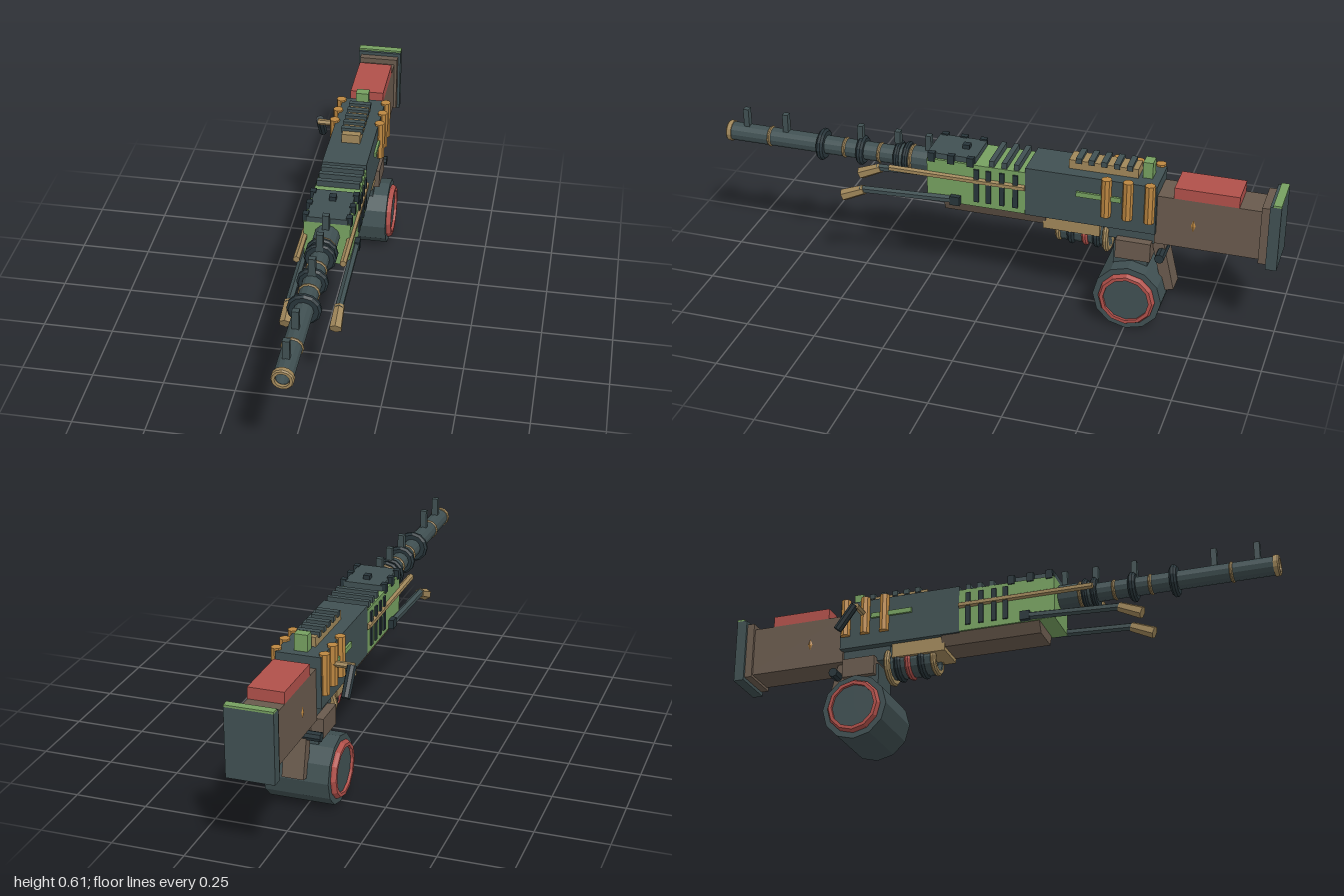
import * as THREE from 'three';

const mat = (name, color, side = THREE.FrontSide) => {
  const m = new THREE.MeshStandardMaterial({ color, flatShading: true, side });
  m.name = name;
  return m;
};

export function createModel() {
  const model = new THREE.Group();
  model.name = 'model';
  const steel = mat('steel', 0x405052), black = mat('blackSteel', 0x28353a);
  const green = mat('green', 0x76a060), red = mat('red', 0xb0504a);
  const tan = mat('tan', 0xa0875a), brown = mat('brown', 0x695a4d), brass = mat('brass', 0xbb8640);
  const CX = 0.018, BY = 0.48; // middle plane and bore height

  const add = (name, geo, m, x = 0, y = 0, z = 0) => {
    const mesh = new THREE.Mesh(geo, m);
    mesh.name = name;
    mesh.position.set(x, y, z);
    model.add(mesh);
    return mesh;
  };
  // box from its limits
  const box = (name, m, x0, x1, y0, y1, z0, z1) =>
    add(name, new THREE.BoxGeometry(x1 - x0, y1 - y0, z1 - z0), m, (x0 + x1) / 2, (y0 + y1) / 2, (z0 + z1) / 2);
  // box centred on the middle plane
  const mid = (name, m, w, y0, y1, z0, z1) => box(name, m, CX - w / 2, CX + w / 2, y0, y1, z0, z1);
  // round bar between two points
  const bar = (name, m, a, b, r, sides = 8, r2 = r) => {
    const p = new THREE.Vector3(...a), q = new THREE.Vector3(...b), d = q.clone().sub(p);
    const mesh = add(name, new THREE.CylinderGeometry(r2, r, d.length(), sides), m);
    mesh.position.copy(p).add(q).multiplyScalar(0.5);
    mesh.quaternion.setFromUnitVectors(new THREE.Vector3(0, 1, 0), d.normalize());
    return mesh;
  };
  // turned part along z, profile of [radius, z]
  const turned = (name, m, pts, y = BY, sides = 12) => {
    const geo = new THREE.LatheGeometry(pts.map(p => new THREE.Vector2(...p)), sides).rotateX(Math.PI / 2);
    return add(name, geo, m, CX, y, 0);
  };
  const collar = (name, m, z, r, w, y = BY, inner = 0.02) => turned(name, m, [
    [inner, z - w / 2], [r - w * 0.3, z - w / 2], [r, z - w * 0.2], [r, z + w * 0.2],
    [r - w * 0.3, z + w / 2], [inner, z + w / 2]], y);

  // Barrel with hollow muzzle
  turned('barrel', steel, [[0.033, 0.2], [0.033, 0.99], [0.022, 0.99], [0.022, 0.9], [0, 0.9]]);
  turned('barrelSleeve', steel, [[0.044, 0.2], [0.044, 0.345], [0.03, 0.355]]);
  turned('muzzleRing', tan, [[0.022, 0.98], [0.037, 0.98], [0.037, 0.995], [0.033, 1], [0.024, 1], [0.022, 0.98]]);
  for (const z of [0.835, 0.55, 0.42]) collar('barrelBand', tan, z, 0.037, 0.012);
  collar('sleeveBand', tan, 0.3, 0.048, 0.012);
  collar('barrelCollar', black, 0.635, 0.057, 0.025);
  collar('barrelCollar', black, 0.487, 0.053, 0.025);
  collar('barrelCollar', black, 0.35, 0.055, 0.02);
  collar('barrelCollar', black, 0.318, 0.055, 0.02);
  for (const z of [0.925, 0.775, 0.492, 0.353, 0.24]) mid('barrelPost', steel, 0.023, 0.5, 0.577, z - 0.01, z + 0.01);

  // Green front housing
  mid('frontHousing', green, 0.158, 0.37, 0.53, -0.13, 0.222);
  mid('topCover', steel, 0.14, 0.53, 0.55, 0.05, 0.222);
  mid('coverKnob', black, 0.024, 0.55, 0.565, 0.09, 0.115);
  for (const z of [0.065, 0.135, 0.205])
    for (const s of [-1, 1]) {
      const x = CX + s * 0.074;
      box('coverClip', black, x - 0.01, x + 0.01, 0.522, 0.555, z - 0.012, z + 0.012);
    }
  for (const z of [-0.01, -0.055, -0.098]) mid('topRib', steel, 0.15, 0.525, 0.552, z - 0.009, z + 0.009);
  for (const z of [0.043, 0, -0.048, -0.096]) mid('sideRib', black, 0.17, 0.39, 0.515, z - 0.009, z + 0.009);

  // Side rods and front legs
  for (const s of [-1, 1]) {
    const x = CX + s * 0.083;
    bar('sideRod', tan, [CX + s * 0.078, 0.47, -0.13], [CX + s * 0.078, 0.47, 0.36], 0.012, 6);
    bar('leg', steel, [x, 0.387, 0.11], [x, 0.37, 0.47], 0.014, 6);
    bar('legFoot', tan, [x, 0.37, 0.455], [x, 0.335, 0.535], 0.018, 6, 0.022);
    box('legHinge', black, x - 0.014, x + 0.014, 0.37, 0.403, 0.1, 0.135);
  }

  // Lower handguard, narrower at the bottom
  const guard = new THREE.BoxGeometry(0.15, 0.047, 0.365);
  const gp = guard.attributes.position;
  for (let i = 0; i < gp.count; i++) if (gp.getY(i) < 0) gp.setX(i, gp.getX(i) * 0.72);
  add('handguard', guard, brown, CX, 0.353, -0.018);
  mid('guardPlate', tan, 0.12, 0.315, 0.368, -0.39, -0.19);

  // Main receiver
  mid('receiver', steel, 0.156, 0.367, 0.547, -0.585, -0.13);
  mid('receiverStripe', green, 0.172, 0.472, 0.49, -0.465, -0.31);
  mid('topRack', tan, 0.066, 0.547, 0.58, -0.51, -0.27);
  for (let i = 0; i < 5; i++) {
    const z = -0.305 - i * 0.044;
    mid('rackBar', steel, 0.078, 0.572, 0.591, z - 0.01, z + 0.01);
  }
  mid('rearSight', green, 0.046, 0.54, 0.605, -0.557, -0.523);
  for (const s of [-1, 1])
    for (const z of [-0.414, -0.488, -0.563]) {
      const x = CX + s * 0.082;
      bar('sideTube', brass, [x, 0.413, z], [x, 0.554, z], 0.018, 8);
    }

  // Crank handle on the right
  bar('crankArm', tan, [-0.06, 0.49, -0.492], [-0.14, 0.49, -0.492], 0.011, 6);
  bar('crankGrip', black, [-0.134, 0.495, -0.5], [-0.134, 0.408, -0.563], 0.016, 8);

  // Stock
  mid('stock', brown, 0.122, 0.325, 0.507, -0.965, -0.58);
  mid('stockPad', red, 0.122, 0.507, 0.547, -0.86, -0.64);
  mid('stockCollar', brown, 0.143, 0.315, 0.527, -0.965, -0.935);
  mid('buttPlate', steel, 0.162, 0.302, 0.54, -1, -0.962);
  mid('buttStrip', green, 0.162, 0.54, 0.547, -1, -0.972);
  for (const s of [-1, 1]) {
    const stud = add('stockStud', new THREE.OctahedronGeometry(0.014), brass, CX + s * 0.061, 0.412, -0.71);
    stud.scale.set(0.35, 1.6, 0.6);
  }

  // Ringed feed drive under the receiver
  turned('feedDrive', steel, [[0, -0.42], [0.05, -0.42], [0.05, -0.235], [0.036, -0.235], [0.036, -0.25], [0, -0.25]], 0.305);
  collar('driveFrontRing', tan, -0.24, 0.055, 0.02, 0.305, 0.036);
  collar('driveRing', black, -0.285, 0.06, 0.025, 0.305);
  collar('driveRedRing', red, -0.335, 0.058, 0.022, 0.305);
  collar('driveRing', black, -0.375, 0.06, 0.025, 0.305);
  collar('driveRearRing', tan, -0.41, 0.07, 0.02, 0.305);

  // Mount block, neck and slanted grip
  mid('mountBlock', brown, 0.158, 0.255, 0.325, -0.572, -0.45);
  mid('mountTop', steel, 0.1, 0.315, 0.37, -0.58, -0.4);
  mid('drumNeck', steel, 0.116, 0.21, 0.3, -0.56, -0.44);
  const grip = mid('grip', brown, 0.075, 0.13, 0.335, -0.628, -0.588);
  grip.rotation.x = 0.23;
  bar('mountPin', black, [CX - 0.085, 0.278, -0.605], [CX + 0.085, 0.278, -0.605], 0.017, 8);

  // Drum with red end rims
  const DY = 0.12, DZ = -0.505;
  const drum = (name, m, pts) =>
    add(name, new THREE.LatheGeometry(pts.map(p => new THREE.Vector2(...p)), 12).rotateZ(-Math.PI / 2), m, CX, DY, DZ);
  drum('drum', steel, [[0, -0.113], [0.12, -0.113], [0.12, 0.113], [0, 0.113]]);
  for (const s of [-1, 1]) {
    const rim = drum('drumRim', red, [[0.099, 0.112], [0.099, 0.119], [0.092, 0.13], [0.08, 0.13], [0.08, 0.112]]);
    if (s < 0) rim.rotation.y = Math.PI;
    const cap = drum('drumCap', steel, [[0.081, 0.112], [0.081, 0.12], [0, 0.12]]);
    if (s < 0) cap.rotation.y = Math.PI;
  }
  return model;
}
